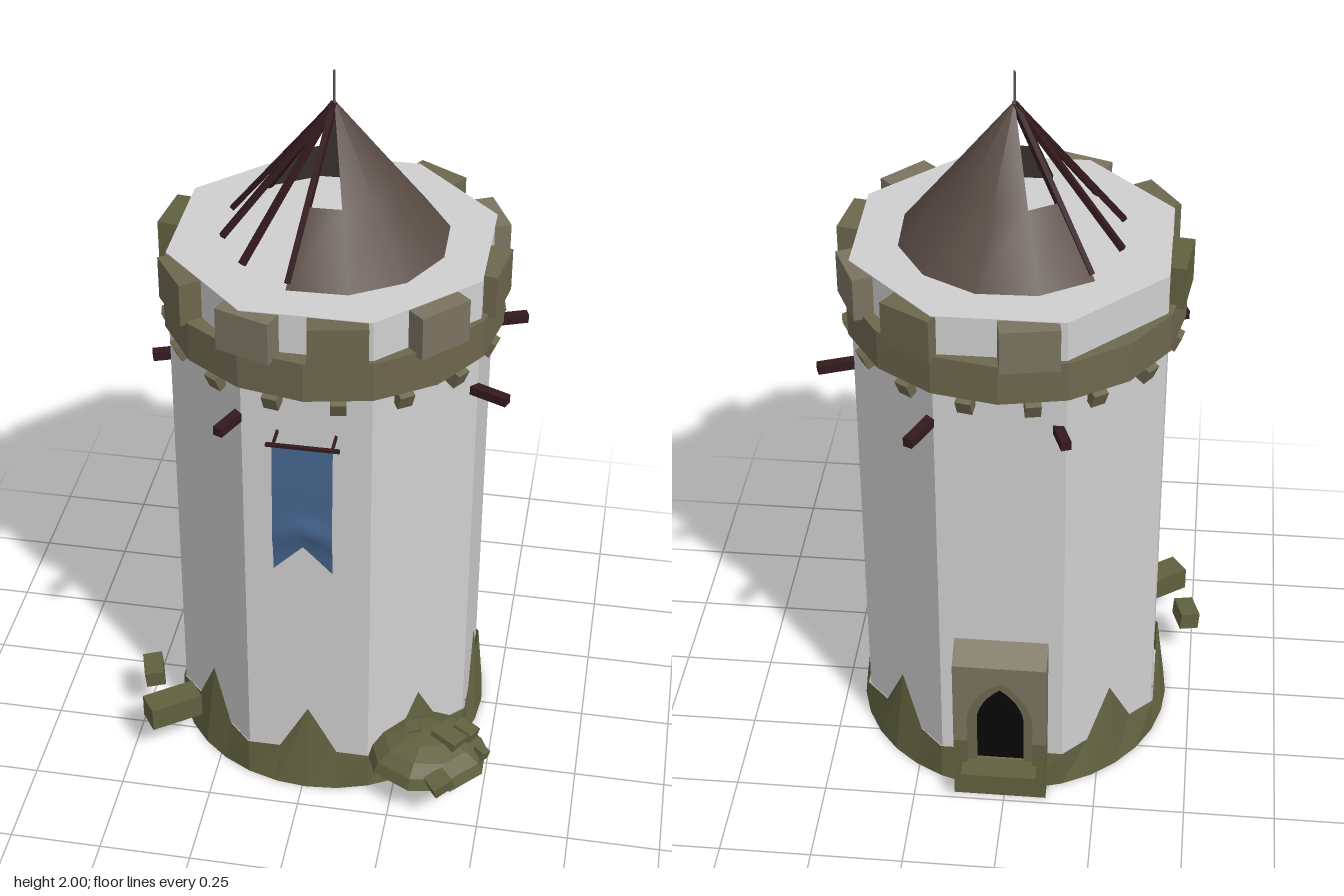
import * as THREE from 'three';

const mat = (name, color, extra = {}) => {
  const m = new THREE.MeshStandardMaterial({ color, flatShading: true, ...extra });
  m.name = name;
  return m;
};

export function createModel() {
  const wall = mat('pale wall', 0xcfcfcf);
  const moss = mat('mossy stone', 0x60613f, { side: THREE.DoubleSide });
  const stone = mat('stone', 0x7b7360);
  const band = mat('weathered stone', 0x6d674e);
  const shingle = mat('roof brown', 0x594b45, { side: THREE.DoubleSide, flatShading: false });
  const wood = mat('dark wood', 0x33191d);
  const cloth = mat('blue cloth', 0x44648c, { side: THREE.DoubleSide, flatShading: false });
  const black = mat('doorway black', 0x080808);
  const metal = mat('finial grey', 0x55555a);

  const model = new THREE.Group();
  const tower = new THREE.Group();   // everything centred on the tower axis
  tower.name = 'tower';
  tower.position.set(0.012, 0, -0.012);
  model.add(tower);

  const add = (parent, name, geo, material, x = 0, y = 0, z = 0) => {
    const m = new THREE.Mesh(geo, material);
    m.name = name;
    m.position.set(x, y, z);
    parent.add(m);
    return m;
  };
  const box = (w, h, d) => new THREE.BoxGeometry(w, h, d);
  const rad = THREE.MathUtils.degToRad;
  // places a mesh at a compass angle (0 = front, 90 = +x) facing outward
  const around = (name, geo, material, deg, r, y) => {
    const a = rad(deg);
    const m = add(tower, name, geo, material, Math.sin(a) * r, y, Math.cos(a) * r);
    m.rotation.y = a;
    return m;
  };

  // octagonal shaft
  const shaft = new THREE.CylinderGeometry(0.436, 0.436, 1.43, 8);
  shaft.rotateY(Math.PI / 8);
  add(tower, 'shaft', shaft, wall, 0, 0.825, 0);

  // mossy foot: a flared open ring with one spike per wall face
  const top = [], low = [];
  for (let f = 0; f < 8; f++) {
    const a = f * Math.PI / 4;
    for (const [t, y] of [[-0.17, 0.115], [-0.08, 0.115], [0, 0.265], [0.08, 0.115]]) {
      const ap = 0.409;
      const px = Math.sin(a) * ap + Math.cos(a) * t, pz = Math.cos(a) * ap - Math.sin(a) * t;
      const r = 0.442 / Math.hypot(px, pz);
      top.push([px, y, pz]);
      low.push([px * r, 0, pz * r]);
    }
  }
  const foot = [];
  top.forEach((p, i) => {
    const j = (i + 1) % top.length;
    foot.push(...low[i], ...low[j], ...top[j], ...low[i], ...top[j], ...p);
  });
  const footGeo = new THREE.BufferGeometry();
  footGeo.setAttribute('position', new THREE.Float32BufferAttribute(foot, 3));
  footGeo.computeVertexNormals();
  add(tower, 'mossyFoot', footGeo, moss);

  // parapet band, corbels and merlons
  add(tower, 'parapetBand', new THREE.CylinderGeometry(0.447, 0.447, 0.11, 16), band, 0, 1.375, 0);
  for (let i = 0; i < 16; i++) {
    const c = around('corbel', box(0.04, 0.045, 0.06), band, 11.25 + i * 22.5, 0.415, 1.305);
    c.rotation.order = 'YXZ';
    c.rotation.x = 0.4;
  }
  [-56, -20, 11, 47, 81, 115, 149, 190, 263].forEach((deg, i) =>
    around('merlon', box(0.15, 0.118, 0.065), i === 8 ? moss : i % 2 ? stone : band, deg, 0.422, 1.479));

  // beams sticking out below the parapet
  for (const [deg, r] of [[66, 0.53], [111, 0.53], [156, 0.54], [-160, 0.5], [-70, 0.48], [-24, 0.52]])
    around('beam', box(0.026, 0.025, 0.2), wood, deg, r - 0.1, 1.222);

  // broken conical roof: full lower belt, narrower upper part
  const yTop = 1.92, yMid = 1.705, yLow = 1.54, start = -13.5;
  const cone = (r0, r1, h, n, deg) =>
    new THREE.CylinderGeometry(r0, r1, h, n, 1, true, rad(deg), n * Math.PI / 6);
  add(tower, 'roofLower', cone(0.17, 0.302, yMid - yLow, 8, start), shingle, 0, (yMid + yLow) / 2, 0);
  add(tower, 'roofUpper', cone(0, 0.17, yTop - yMid, 6, start + 30), shingle, 0, (yTop + yMid) / 2, 0);

  // bare rafters
  for (let i = 0; i < 5; i++) {
    const a = rad(start - 30 * i);
    const end = new THREE.Vector3(Math.sin(a) * 0.287, 1.55, Math.cos(a) * 0.287);
    const apex = new THREE.Vector3(0, yTop - 0.01, 0);
    const r = add(tower, 'rafter', box(0.015, 0.015, end.distanceTo(apex)), wood);
    r.position.copy(end).add(apex).multiplyScalar(0.5);
    r.lookAt(apex.clone().add(tower.position));
  }
  add(tower, 'finial', new THREE.CylinderGeometry(0.003, 0.004, 0.1, 6), metal, 0, 1.95, 0);

  // banner with swallow tail and a fold near the bottom
  const flag = new THREE.PlaneGeometry(0.155, 1, 8, 16);
  const p = flag.attributes.position;
  for (let i = 0; i < p.count; i++) {
    const u = p.getX(i) / 0.0775, v = 0.5 - p.getY(i);
    const length = 0.31 + 0.08 * Math.abs(u);
    const y = -v * length;
    const fold = 0.014 * Math.exp(-(((y + 0.25 + 0.03 * u * u) / 0.035) ** 2));
    p.setXYZ(i, p.getX(i), y, fold * (1 - 0.5 * u * u) + 0.008 * Math.sin(v * Math.PI));
  }
  flag.computeVertexNormals();
  add(model, 'banner', flag, cloth, 0.013, 1.19, 0.455);
  add(model, 'bannerRod', box(0.188, 0.008, 0.01), wood, 0.013, 1.192, 0.452);
  for (const s of [-1, 1]) add(model, 'bannerBracket', box(0.007, 0.007, 0.07), wood, 0.013 + s * 0.075, 1.192, 0.42);

  // doorway at the back, built facing +z and turned round
  const door = new THREE.Group();
  door.name = 'doorway';
  door.position.set(0.012, 0, -0.405);
  door.rotation.y = Math.PI;
  model.add(door);
  const arch = (path, w, y0, ys, yp) => {
    path.moveTo(-w, y0);
    path.lineTo(w, y0);
    path.lineTo(w, ys);
    path.quadraticCurveTo(w * 0.9, ys + (yp - ys) * 0.6, 0, yp);
    path.quadraticCurveTo(-w * 0.9, ys + (yp - ys) * 0.6, -w, ys);
    path.closePath();
    return path;
  };
  const extrude = (shape, depth) =>
    new THREE.ExtrudeGeometry(shape, { depth, bevelEnabled: false, curveSegments: 6 });
  const W = 0.127, w = 0.09;
  const lower = new THREE.Shape();
  [[-W, 0], [W, 0], [W, 0.2], [w, 0.2], [w, 0.11], [-w, 0.11], [-w, 0.2], [-W, 0.2]]
    .forEach(([x, y], i) => (i ? lower.lineTo(x, y) : lower.moveTo(x, y)));
  add(door, 'doorSurroundLower', extrude(lower, 0.075), moss);
  const upper = new THREE.Shape();
  upper.moveTo(-W, 0.2);
  upper.lineTo(-w, 0.2);
  upper.lineTo(-w, 0.28);
  upper.quadraticCurveTo(-w * 0.9, 0.365, 0, 0.42);
  upper.quadraticCurveTo(w * 0.9, 0.365, w, 0.28);
  upper.lineTo(w, 0.2);
  upper.lineTo(W, 0.2);
  upper.lineTo(W, 0.52);
  upper.lineTo(-W, 0.52);
  const upperGeo = extrude(upper, 0.075);
  const q = upperGeo.attributes.position;
  for (let i = 0; i < q.count; i++)   // slope the top forward
    if (q.getY(i) > 0.5 && q.getZ(i) > 0.07) q.setY(i, 0.47);
  upperGeo.computeVertexNormals();
  add(door, 'doorSurroundUpper', upperGeo, stone);
  const frame = arch(new THREE.Shape(), w, 0.11, 0.28, 0.42);
  frame.holes.push(arch(new THREE.Path(), 0.065, 0.115, 0.27, 0.38));
  add(door, 'doorFrame', extrude(frame, 0.06), band);
  add(door, 'doorOpening', extrude(arch(new THREE.Shape(), 0.07, 0.11, 0.272, 0.385), 0.008), black, 0, 0, 0.035);
  add(door, 'doorStep', box(0.205, 0.04, 0.07), moss, 0, 0.1, 0.09);

  // rubble heap at the front corner
  const heap = new THREE.Group();
  heap.name = 'rubbleHeap';
  model.add(heap);
  const dome = new THREE.SphereGeometry(0.172, 9, 4, 0, Math.PI * 2, 0, Math.PI / 2);
  dome.scale(1, 0.5, 0.9);
  add(heap, 'mound', dome, moss, 0.338, 0.108, 0.352);
  const disc = new THREE.CircleGeometry(0.172, 9);
  disc.rotateX(Math.PI / 2);
  disc.rotateY(Math.PI);
  disc.scale(1, 1, 0.9);
  add(heap, 'moundBase', disc, moss, 0.338, 0.108, 0.352);
  const block = (name, w, h, d, x, y, z, ry, rz = 0) =>
    add(heap, name, box(w, h, d), moss, x, y, z).rotation.set(rz * 0.7, ry, rz);
  block('rubble', 0.08, 0.04, 0.07, 0.4, 0.18, 0.355, -0.5, -0.2);
  block('rubble', 0.06, 0.035, 0.05, 0.44, 0.18, 0.32, -0.4, -0.3);
  block('rubble', 0.035, 0.03, 0.03, 0.49, 0.145, 0.36, -0.6, -0.4);
  block('rubble', 0.06, 0.035, 0.055, 0.39, 0.135, 0.485, 0.7, 0.2);
  block('rubble', 0.04, 0.035, 0.04, 0.3, 0.182, 0.34, 0.3, 0.2);

  // loose stones on the other side
  block('looseStone', 0.15, 0.07, 0.072, -0.392, 0.143, 0.32, 0.62);
  block('looseStone', 0.055, 0.05, 0.085, -0.48, 0.14, 0.178, 0.3, 0.08);

  return model;
}
